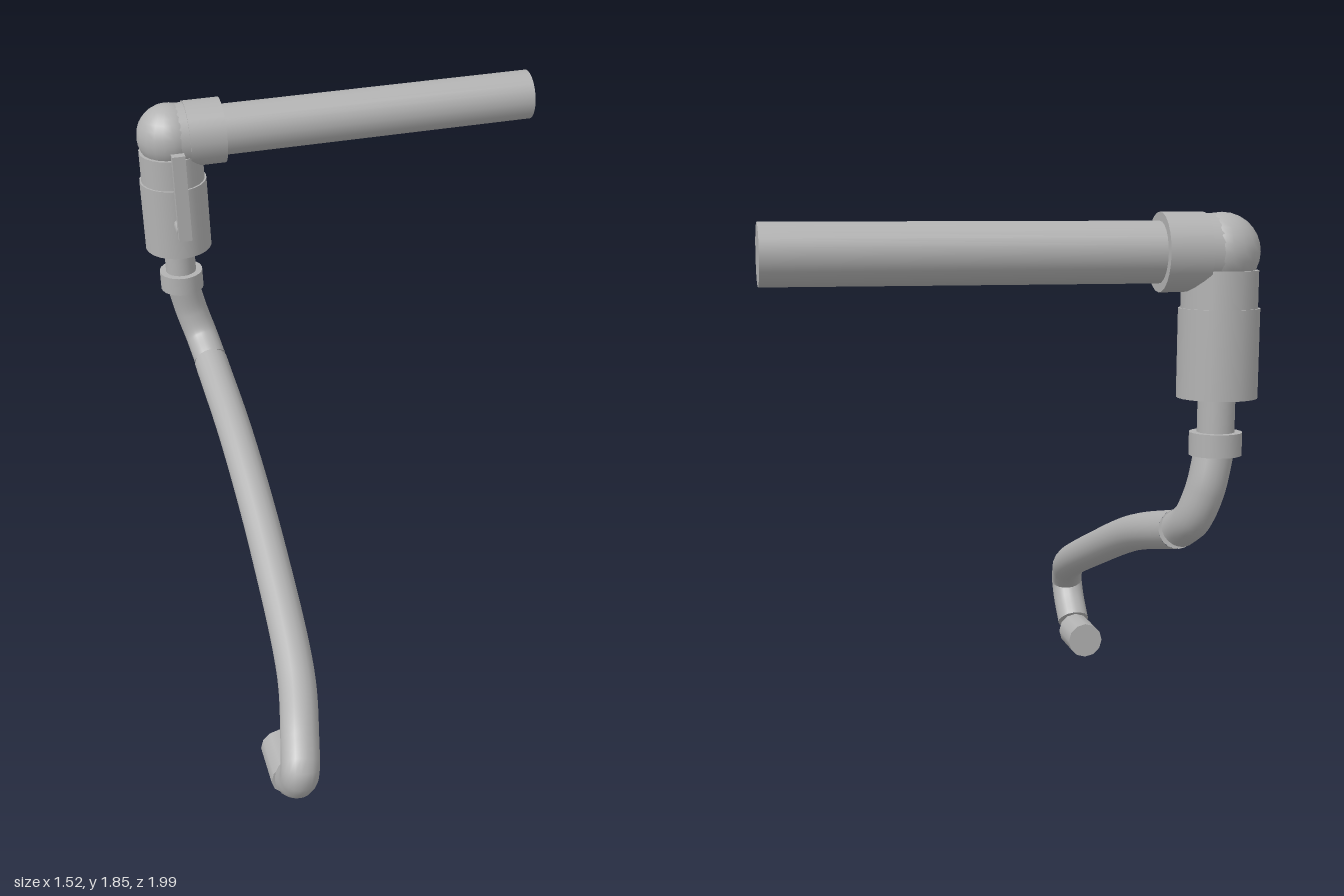
import * as THREE from 'three';

export function createModel() {
  const model = new THREE.Group();
  const metal = new THREE.MeshStandardMaterial({ color: 0xb2b2b2 });
  metal.name = 'grey metal';
  const X = -0.64, Z = -0.873, PIPE_Y = 1.725;

  function add(name, geometry, x = 0, y = 0, z = 0) {
    const mesh = new THREE.Mesh(geometry, metal);
    mesh.name = name;
    mesh.position.set(x, y, z);
    model.add(mesh);
    return mesh;
  }

  // Cylinder along one axis, from a to b
  function rod(name, axis, a, b, radius, centre, sides = 24) {
    const g = new THREE.CylinderGeometry(radius, radius, b - a, sides);
    if (axis === 'x') g.rotateZ(-Math.PI / 2);
    if (axis === 'z') g.rotateX(Math.PI / 2);
    const mesh = add(name, g, ...centre);
    mesh.position[axis] = (a + b) / 2;
    return mesh;
  }

  // Smooth hose through points, with flat discs closing both ends
  function hose(name, points, radius, steps) {
    const curve = new THREE.CatmullRomCurve3(points.map(p => new THREE.Vector3(...p)));
    add(name, new THREE.TubeGeometry(curve, steps, radius, 20));
    for (const t of [0, 1]) {
      const p = curve.getPointAt(t);
      const dir = curve.getTangentAt(t).multiplyScalar(t ? 1 : -1);
      const cap = add(name + 'Cap', new THREE.CircleGeometry(radius, 20), p.x, p.y, p.z);
      cap.quaternion.setFromUnitVectors(new THREE.Vector3(0, 0, 1), dir);
    }
  }

  // Horizontal pipe and elbow fitting
  rod('mainPipe', 'x', -0.5, 0.76, 0.094, [0, PIPE_Y, Z]);
  rod('pipeCollar', 'x', -0.58, -0.445, 0.121, [0, PIPE_Y, Z]);
  rod('elbowArm', 'x', X, -0.57, 0.116, [0, PIPE_Y, Z]);
  add('elbowBall', new THREE.SphereGeometry(0.12, 20, 14), X, PIPE_Y, Z);
  rod('elbowColumn', 'y', 1.55, 1.67, 0.118, [X, 0, Z]);

  // Valve body, neck and hose collar
  rod('valveBody', 'y', 1.28, 1.555, 0.125, [X, 0, Z]);
  rod('neck', 'y', 1.16, 1.285, 0.058, [X, 0, Z]);
  rod('hoseCollar', 'y', 1.1, 1.172, 0.082, [X, 0, Z]);

  // Lever handle on its stem
  rod('leverStem', 'z', -0.77, -0.69, 0.028, [X, 1.42, 0], 12);
  add('leverHandle', new THREE.BoxGeometry(0.048, 0.335, 0.03), X, 1.56, -0.68);

  // Short bent hose below the collar
  hose('upperHose', [
    [-0.64, 1.12, -0.868], [-0.613, 0.99, -0.868],
    [-0.588, 0.895, -0.833], [-0.575, 0.838, -0.742],
  ], 0.062, 28);

  // Long sloping hose with a hooked end
  hose('longHose', [
    [-0.575, 0.833, -0.722], [-0.562, 0.735, -0.31], [-0.56, 0.565, 0.195],
    [-0.58, 0.4, 0.66], [-0.618, 0.317, 0.855], [-0.638, 0.252, 0.935],
    [-0.64, 0.185, 0.905], [-0.64, 0.104, 0.825],
  ], 0.064, 80);

  // Nozzle lying on the ground
  rod('nozzle', 'z', 0.625, 0.79, 0.07, [X, 0.07, 0], 12);

  return model;
}
